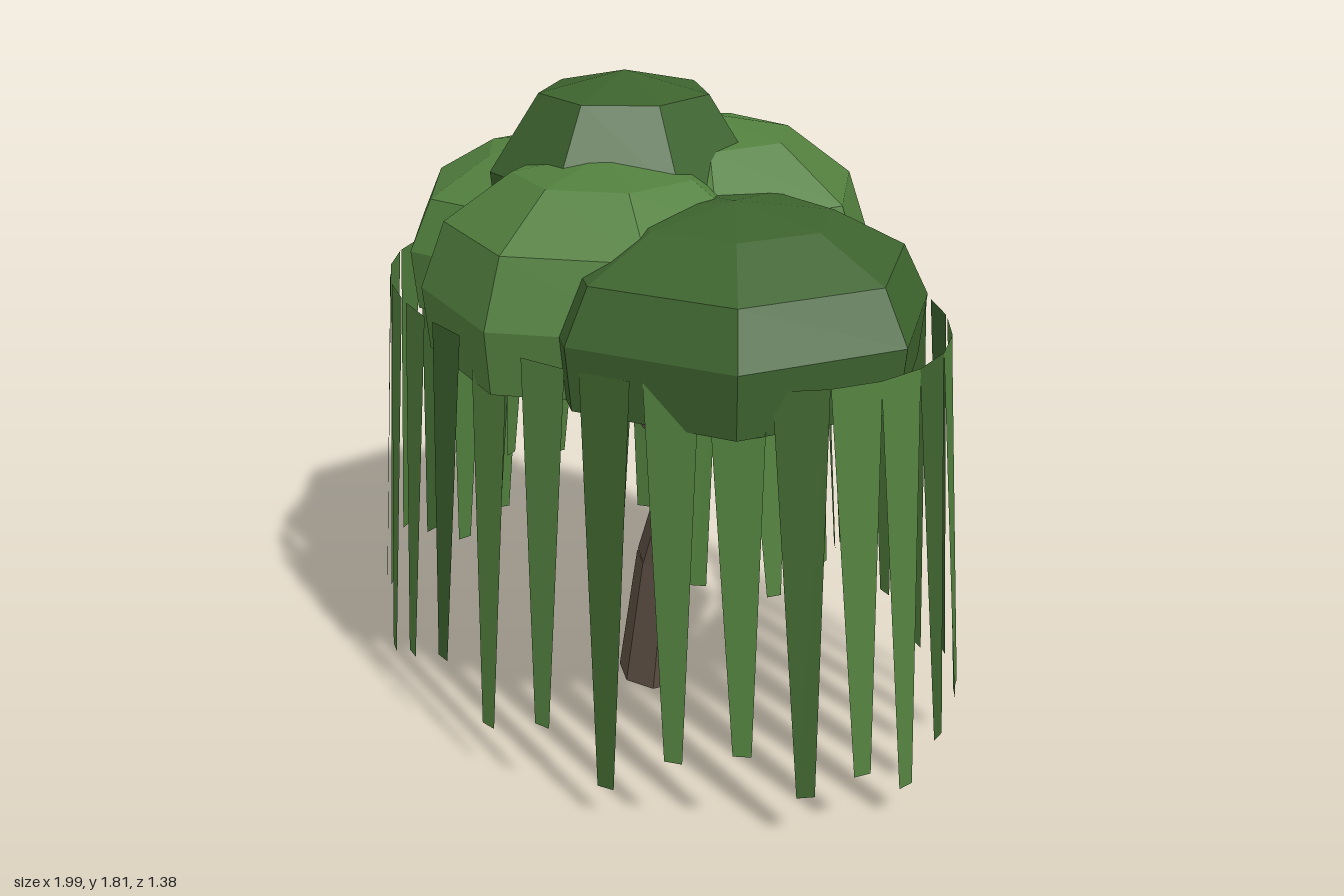
import * as THREE from 'three';

const rad = THREE.MathUtils.degToRad;

export function createModel() {
  const tree = new THREE.Group();
  tree.name = 'weepingTree';

  const material = (name, color, side = THREE.FrontSide) => {
    const m = new THREE.MeshStandardMaterial({ color, side, flatShading: true });
    m.name = name;
    return m;
  };
  const lightLeaf = material('light leaf green', 0x52803e, THREE.DoubleSide);
  const darkLeaf = material('dark leaf green', 0x3d632e, THREE.DoubleSide);
  const bark = material('bark brown', 0x5d4f43);

  const add = (name, geometry, mat) => {
    const mesh = new THREE.Mesh(geometry, mat);
    mesh.name = name;
    tree.add(mesh);
    return mesh;
  };

  // Tapered limb between two points
  const limb = (name, from, to, r0, r1, sides) => {
    const a = new THREE.Vector3(...from);
    const b = new THREE.Vector3(...to);
    const dir = b.clone().sub(a);
    const mesh = add(name, new THREE.CylinderGeometry(r1, r0, dir.length(), sides), bark);
    mesh.position.copy(a).add(b).multiplyScalar(0.5);
    mesh.quaternion.setFromUnitVectors(new THREE.Vector3(0, 1, 0), dir.normalize());
  };

  // Trunk and branches
  limb('lowerTrunk', [-0.02, 0.012, 0], [0.033, 0.41, 0], 0.1, 0.08, 7);
  limb('upperTrunk', [0.035, 0.41, 0], [0.135, 0.75, 0], 0.08, 0.058, 7);
  limb('crownTrunk', [0.135, 0.73, 0], [0.06, 1.3, 0], 0.053, 0.035, 6);
  const fork = [0.14, 0.74, 0];
  limb('leftBranch', fork, [0.59, 1.2, 0.06], 0.037, 0.028, 5);
  limb('rightBranch', fork, [-0.5, 1.18, -0.06], 0.037, 0.028, 5);
  limb('frontBranch', fork, [0.04, 1.2, 0.36], 0.035, 0.026, 5);
  limb('backBranch', fork, [0, 1.2, -0.38], 0.035, 0.026, 5);

  // Seven-sided solid of revolution from [radius, height] pairs, bottom to top
  const leafMass = (name, x, z, profile, angle, mat) => {
    const points = profile.map(([r, y]) => new THREE.Vector2(r, y));
    const geometry = new THREE.LatheGeometry(points, 7, rad(90 - angle));
    add(name, geometry, mat).position.set(x, 0, z);
  };

  // Dome with a short inset skirt and a flat underside
  const dome = (name, x, z, r, topY, angle, mat) => {
    const midY = 1.27, bottomY = 1.1;
    const profile = [[0, bottomY], [r * 0.965, bottomY]];
    for (const t of [90, 60, 30, 0]) {
      profile.push([t ? r * Math.sin(rad(t)) : 0, midY + (topY - midY) * Math.cos(rad(t))]);
    }
    leafMass(name, x, z, profile, angle, mat);
  };
  dome('rightDome', -0.47, -0.065, 0.5, 1.56, 154.5, lightLeaf);
  dome('frontDome', 0.03, 0.2, 0.495, 1.63, 77, lightLeaf);
  dome('backDome', -0.05, -0.2, 0.525, 1.67, -67, lightLeaf);
  dome('leftDome', 0.385, 0.07, 0.53, 1.55, -10, darkLeaf);

  // Steep crown cap
  leafMass('topDome', -0.115, 0.015,
    [[0, 1.25], [0.34, 1.25], [0.372, 1.54], [0.235, 1.75], [0, 1.805]], 17, darkLeaf);

  // Flat hanging strand, narrowed towards its tip and leaning outward
  const strand = (name, angle, top, tip, topY, tipY, width, mat) => {
    const c = Math.cos(angle), s = Math.sin(angle);
    const normal = new THREE.Vector2(c / tip[0], s / tip[1]).normalize();
    const geometry = new THREE.PlaneGeometry(1, 1);
    const p = geometry.attributes.position;
    for (let i = 0; i < p.count; i++) {
      const upper = p.getY(i) > 0;
      const [a, b] = upper ? top : tip;
      const across = p.getX(i) * (upper ? width : width * 0.34);
      p.setXYZ(i, a * c + normal.y * across, upper ? topY : tipY, b * s - normal.x * across);
    }
    geometry.computeVertexNormals();
    add(name, geometry, mat);
  };

  // Outer curtain
  const outerTips = [
    0.10, 0.18, 0.14, 0.26, 0.22, 0.10, 0.22, 0.14, 0.26, 0.18,
    0.10, 0.18, 0.14, 0.26, 0.18, 0.10, 0.18, 0.26, 0.26, 0.18,
    0.10, 0.22, 0.14, 0.26, 0.18, 0.10, 0.18, 0.14, 0.26, 0.18,
  ];
  outerTips.forEach((tipY, i) => {
    strand('outerStrand', rad(i * 12), [0.91, 0.64], [0.995, 0.69],
      1.21, tipY, 0.14, i % 3 === 2 ? darkLeaf : lightLeaf);
  });

  // Shorter inner curtain
  const innerTips = [0.52, 0.56, 0.56, 0.48, 0.6, 0.52, 0.56];
  for (let i = 0; i < 14; i++) {
    strand('innerStrand', rad((i + 0.5) * 360 / 14), [0.54, 0.38], [0.6, 0.41],
      1.2, innerTips[i % 7], 0.12, i % 3 === 2 ? darkLeaf : lightLeaf);
  }

  return tree;
}
